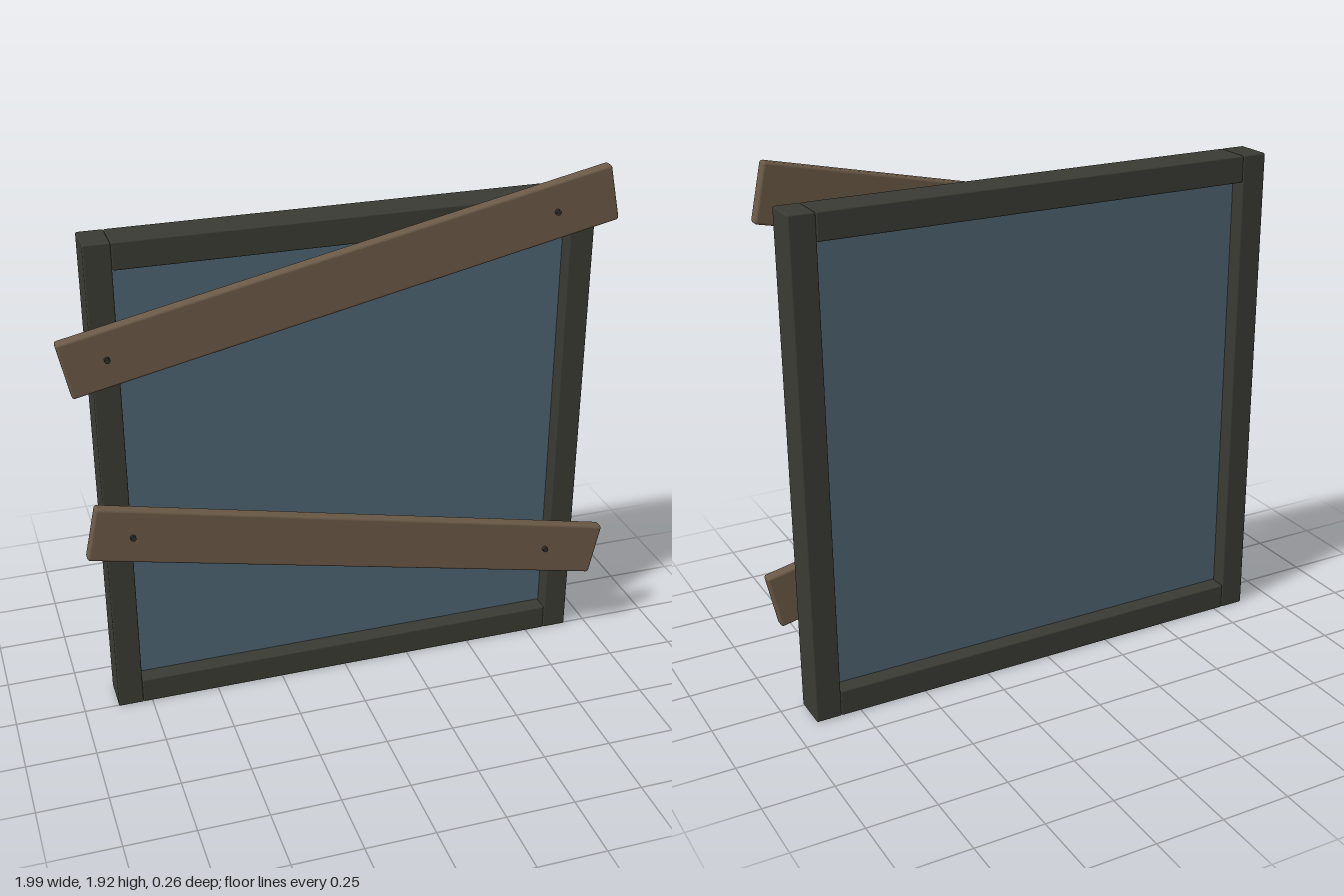
import * as THREE from 'three';
import { RoundedBoxGeometry } from 'three/addons/geometries/RoundedBoxGeometry.js';

const material = (name, color) => {
  const m = new THREE.MeshStandardMaterial({ color });
  m.name = name;
  return m;
};

export function createModel() {
  const frameMat = material('dark frame', 0x3b3b34);
  const woodMat = material('weathered wood', 0x6b5a47);
  const glassMat = material('blue glass', 0x4f6472);
  const nailMat = material('nail iron', 0x2c2c2a);

  const model = new THREE.Group();
  model.name = 'boardedWindow';

  const add = (parent, name, geometry, mat, x, y, z) => {
    const mesh = new THREE.Mesh(geometry, mat);
    mesh.name = name;
    mesh.position.set(x, y, z);
    parent.add(mesh);
    return mesh;
  };

  // Window frame: two full-height posts with rails between them
  const frame = new THREE.Group();
  frame.name = 'frame';
  frame.position.set(0.02, 0, -0.06);
  model.add(frame);
  const depth = 0.136;
  for (const side of [-1, 1]) {
    add(frame, side < 0 ? 'rightPost' : 'leftPost',
      new RoundedBoxGeometry(0.092, 1.8, depth, 2, 0.006), frameMat, side * 0.849, 0.9, 0);
    add(frame, side < 0 ? 'bottomRail' : 'topRail',
      new RoundedBoxGeometry(1.606, 0.097, depth, 2, 0.006), frameMat, 0, 0.9 + side * 0.8515, 0);
  }

  // Pane set midway through the frame
  add(frame, 'glassPane', new THREE.BoxGeometry(1.61, 1.61, 0.015), glassMat, 0, 0.9, 0);

  // Slanted planks, each held by two nails
  const plank = (name, x, y, z, angle) => {
    const group = new THREE.Group();
    group.name = name;
    group.position.set(x, y, z);
    group.rotation.z = angle;
    add(group, 'board', new RoundedBoxGeometry(1.953, 0.202, 0.044, 2, 0.01), woodMat, 0, 0, 0);
    for (const along of [-0.833, 0.757]) {
      const nail = add(group, 'nail', new THREE.CylinderGeometry(0.01, 0.01, 0.03, 10), nailMat, along, 0, 0.02);
      nail.rotation.x = Math.PI / 2;
    }
    model.add(group);
  };
  plank('upperPlank', -0.024, 1.622, 0.095, 0.211);
  plank('lowerPlank', 0.02, 0.594, 0.083, -0.211);

  return model;
}
